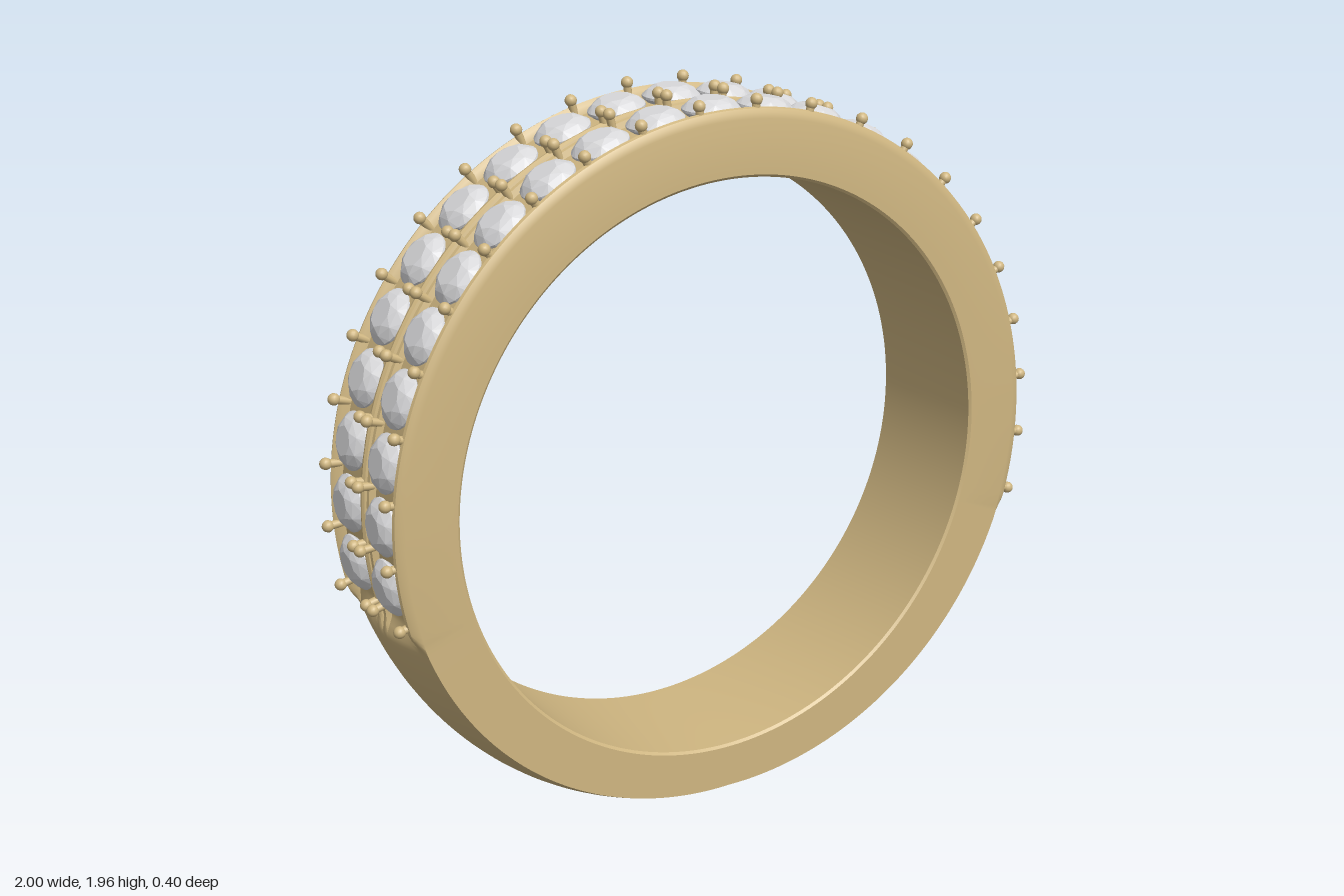
import * as THREE from 'three';
import { toCreasedNormals } from 'three/addons/utils/BufferGeometryUtils.js';
import { ConvexGeometry } from 'three/addons/geometries/ConvexGeometry.js';

const CENTRE_Y = 0.962;
const STEP = THREE.MathUtils.degToRad(9.9); // angle between neighbouring stones
const HALF_WIDTH = 0.2;

// Half outer profile of the stone-set part, as [z, radius]
const SET_PROFILE = [
  [0, 0.93], [0.008, 0.953], [0.016, 0.958], [0.025, 0.956], [0.031, 0.94],
  [0.065, 0.94], [0.1, 0.94], [0.135, 0.94], [0.167, 0.94], [0.173, 0.958],
  [0.182, 0.967], [0.19, 0.964], [0.196, 0.955], [0.2, 0.94],
];
// Bore from the front edge to the back edge, slightly eased
const BORE = [[0.2, 0.797], [0.194, 0.79], [0.1, 0.788], [-0.1, 0.788], [-0.194, 0.79], [-0.2, 0.797]];

// Cross-section at an angle (degrees) from the top: stone channels above, plain dome below
function section(deg) {
  const plain = THREE.MathUtils.smoothstep(deg, 105, 109);
  const u = THREE.MathUtils.clamp((deg - 108) / 72, 0, 1);
  const mid = THREE.MathUtils.lerp(0.977, 0.962, u);
  const side = THREE.MathUtils.lerp(0.945, 0.915, u);
  const half = SET_PROFILE.map(([z, r]) => {
    const dome = side + (mid - side) * (1 - (z / HALF_WIDTH) ** 2);
    return [z, THREE.MathUtils.lerp(r, dome, plain)];
  });
  const back = half.slice(1).reverse().map(([z, r]) => [-z, r]);
  return [...back, ...half, ...BORE];
}

function bandGeometry() {
  const N = 360, pos = [], index = [];
  let M = 0;
  for (let i = 0; i < N; i++) {
    const a = (i / N) * Math.PI * 2;
    const deg = (Math.min(i, N - i) / N) * 360;
    const pts = section(deg);
    M = pts.length;
    for (const [z, r] of pts) pos.push(r * Math.sin(a), r * Math.cos(a), z);
  }
  for (let i = 0; i < N; i++) {
    for (let j = 0; j < M; j++) {
      const a = i * M + j, b = i * M + (j + 1) % M;
      const c = ((i + 1) % N) * M + j, d = ((i + 1) % N) * M + (j + 1) % M;
      index.push(a, b, c, b, d, c);
    }
  }
  const geo = new THREE.BufferGeometry();
  geo.setAttribute('position', new THREE.Float32BufferAttribute(pos, 3));
  geo.setIndex(index);
  return toCreasedNormals(geo, 0.6);
}

// Round faceted stone: table, crown, girdle and pointed pavilion, girdle at y = 0
function stoneGeometry() {
  const pts = [];
  const ring = (n, r, y, shift) => {
    for (let i = 0; i < n; i++) {
      const a = ((i + shift) / n) * Math.PI * 2;
      pts.push(new THREE.Vector3(r * Math.cos(a), y, r * Math.sin(a)));
    }
  };
  ring(8, 0.04, 0.03, 0);
  ring(8, 0.06, 0.0205, 0.5);
  ring(24, 0.076, 0.003, 0);
  ring(24, 0.076, -0.003, 0);
  pts.push(new THREE.Vector3(0, -0.07, 0));
  return new ConvexGeometry(pts);
}

export function createModel() {
  const gold = new THREE.MeshStandardMaterial({ color: 0xcfb681 });
  gold.name = 'gold';
  const crystal = new THREE.MeshStandardMaterial({ color: 0xd8d8da });
  crystal.name = 'crystal';

  const model = new THREE.Group();
  model.name = 'ring';
  const hoop = new THREE.Group();
  hoop.name = 'hoop';
  hoop.position.y = CENTRE_Y;
  model.add(hoop);

  // Places a mesh on the rim, its own y axis pointing outward
  const place = (name, geo, mat, angle, radius, z) => {
    const mesh = new THREE.Mesh(geo, mat);
    mesh.name = name;
    mesh.position.set(radius * Math.sin(angle), radius * Math.cos(angle), z);
    mesh.rotation.z = -angle;
    hoop.add(mesh);
  };

  const band = new THREE.Mesh(bandGeometry(), gold);
  band.name = 'band';
  hoop.add(band);

  // Two rows of stones
  const stone = stoneGeometry();
  for (let k = -10; k <= 10; k++) {
    for (const z of [-0.097, 0.097]) place('stone', stone, crystal, k * STEP, 0.952, z);
  }

  // Beaded prongs between the stones
  const bead = new THREE.SphereGeometry(0.016, 14, 10);
  const post = new THREE.CylinderGeometry(0.011, 0.011, 0.06, 10);
  for (let k = -10.5; k <= 10.5; k++) {
    for (const z of [-0.177, -0.02, 0.02, 0.177]) {
      place('prongBead', bead, gold, k * STEP, 0.985, z);
      place('prongPost', post, gold, k * STEP, 0.953, z);
    }
  }
  return model;
}
